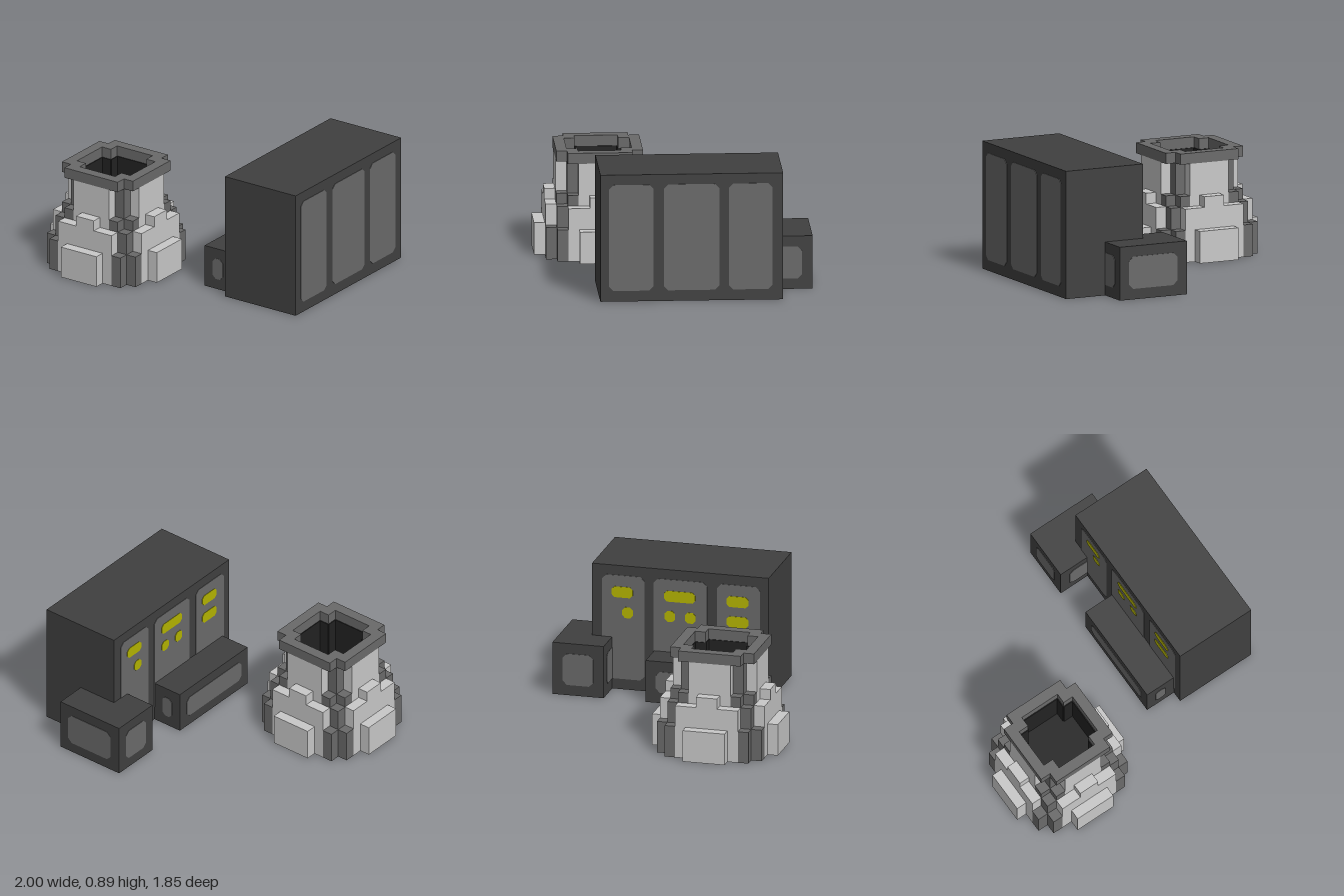
import * as THREE from 'three';

const U = 0.0743; // one block

const mat = (name, color) => {
  const m = new THREE.MeshStandardMaterial({ color });
  m.name = name;
  return m;
};

export function createModel() {
  const root = new THREE.Group();
  root.name = 'powerStation';
  const light = mat('paleConcrete', 0xc8c8c8);
  const grey = mat('midGrey', 0x6a6a6a);
  const dark = mat('charcoal', 0x404040);
  const black = mat('shaftBlack', 0x222222);
  const yellow = mat('windowYellow', 0xb4b400);

  // Box given by its minimum and maximum corners
  const box = (parent, name, m, x0, x1, y0, y1, z0, z1, s = 1) => {
    const mesh = new THREE.Mesh(new THREE.BoxGeometry((x1 - x0) * s, (y1 - y0) * s, (z1 - z0) * s), m);
    mesh.position.set((x0 + x1) / 2 * s, (y0 + y1) / 2 * s, (z0 + z1) / 2 * s);
    mesh.name = name;
    parent.add(mesh);
    return mesh;
  };

  // Thin plate with clipped corners, facing the direction given by a turn about y
  const plate = (name, m, w, h, c, x, y, z, turn) => {
    const a = w / 2, b = h / 2;
    const shape = new THREE.Shape([
      [-a + c, -b], [a - c, -b], [a, -b + c], [a, b - c],
      [a - c, b], [-a + c, b], [-a, b - c], [-a, -b + c],
    ].map(p => new THREE.Vector2(...p)));
    const mesh = new THREE.Mesh(new THREE.ExtrudeGeometry(shape, { depth: 0.003, bevelEnabled: false }), m);
    mesh.position.set(x, y, z);
    mesh.rotation.y = turn;
    mesh.name = name;
    root.add(mesh);
  };
  const FRONT = 0, LEFT = Math.PI / 2, BACK = Math.PI, RIGHT = -Math.PI / 2;

  // Cooling tower, measured in blocks around its own axis
  const tower = new THREE.Group();
  tower.name = 'coolingTower';
  tower.position.set(-0.556, 0, 0.475);
  root.add(tower);
  box(tower, 'towerBaseCore', light, -4, 4, 0, 3, -4, 4, U);
  box(tower, 'towerMiddleCore', light, -3, 3, 3, 5, -3, 3, U);
  box(tower, 'shaftFloor', black, -3, 3, 5, 5.08, -3, 3, U);

  for (let i = 0; i < 4; i++) {
    const side = new THREE.Group();
    side.name = 'towerSide';
    side.rotation.y = i * Math.PI / 2;
    tower.add(side);
    const b = (name, m, ...d) => box(side, name, m, ...d, U);
    // flared foot
    b('footOuter', light, -2, 2, 0, 3, 5, 6);
    b('footInner', light, -3, 3, 0, 3, 4, 5);
    b('footCorner', grey, 3, 4, 0, 3, 4, 5);
    b('footCorner', grey, 4, 5, 0, 3, 3, 4);
    // middle tier with its raised step
    b('middleOuter', light, -3, 3, 3, 5, 4, 5);
    b('middleInner', light, -3, 3, 3, 5, 3, 4);
    b('middleCorner', grey, 3, 4, 3, 5, 3, 4);
    b('middleStep', light, -1, 1, 5, 6, 4, 5);
    b('cornerStep', grey, 2, 3, 5, 6, 3, 4);
    b('cornerStep', grey, 3, 4, 5, 6, 2, 3);
    // neck wall and corner post
    b('neckWall', light, -2, 2, 5, 9, 3, 4);
    b('neckPost', grey, 2, 3, 5, 9, 2, 3);
    // dark lining of the shaft
    b('shaftLining', black, -2, 2, 5, 9, 2.92, 3);
    b('shaftLining', black, 1.92, 2, 5, 9, 2, 3);
    b('shaftLining', black, 2, 3, 5, 9, 1.92, 2);
    // rim
    b('rimSide', grey, -3, 3, 9, 10, 3, 4);
    b('rimCorner', grey, 2, 3, 9, 10, 2, 3);
  }

  // Main hall
  box(root, 'mainHall', dark, 0.408, 1, 0, 0.89, -0.703, 0.55);
  for (const [z0, z1] of [[-0.63, -0.33], [-0.265, 0.115], [0.185, 0.49]]) {
    const z = (z0 + z1) / 2;
    plate('hallPanel', grey, z1 - z0, 0.745, 0.03, 1, 0.447, z, LEFT);
    plate('hallPanel', grey, z1 - z0, 0.745, 0.03, 0.408, 0.447, z, RIGHT);
  }

  // Lit windows: z, y, width
  for (const [z, y, w] of [
    [-0.488, 0.70, 0.15], [-0.45, 0.555, 0.075],
    [-0.08, 0.70, 0.22], [-0.15, 0.555, 0.075], [-0.005, 0.555, 0.075],
    [0.33, 0.70, 0.155], [0.33, 0.555, 0.155],
  ]) plate('litWindow', yellow, w, 0.078, 0.02, 0.405, y, z, RIGHT);

  // Annexes with a panel on every side
  const annex = (name, x0, x1, h, z0, z1, px0, px1, pz0, pz1) => {
    box(root, name, dark, x0, x1, 0, h, z0, z1);
    const ph = h - 0.147, x = (px0 + px1) / 2, z = (pz0 + pz1) / 2;
    const c = Math.min(0.03, (px1 - px0) / 3.5);
    plate(name + 'Panel', grey, px1 - px0, ph, c, x, h / 2, z1, FRONT);
    plate(name + 'Panel', grey, px1 - px0, ph, c, x, h / 2, z0, BACK);
    plate(name + 'Panel', grey, pz1 - pz0, ph, 0.03, x0, h / 2, z, RIGHT);
    plate(name + 'Panel', grey, pz1 - pz0, ph, 0.03, x1, h / 2, z, LEFT);
  };
  annex('rearAnnex', 0.185, 0.70, 0.372, -0.923, -0.56, 0.26, 0.63, -0.85, -0.633);
  annex('sideAnnex', 0.185, 0.42, 0.298, -0.262, 0.475, 0.255, 0.337, -0.19, 0.405);

  return root;
}
